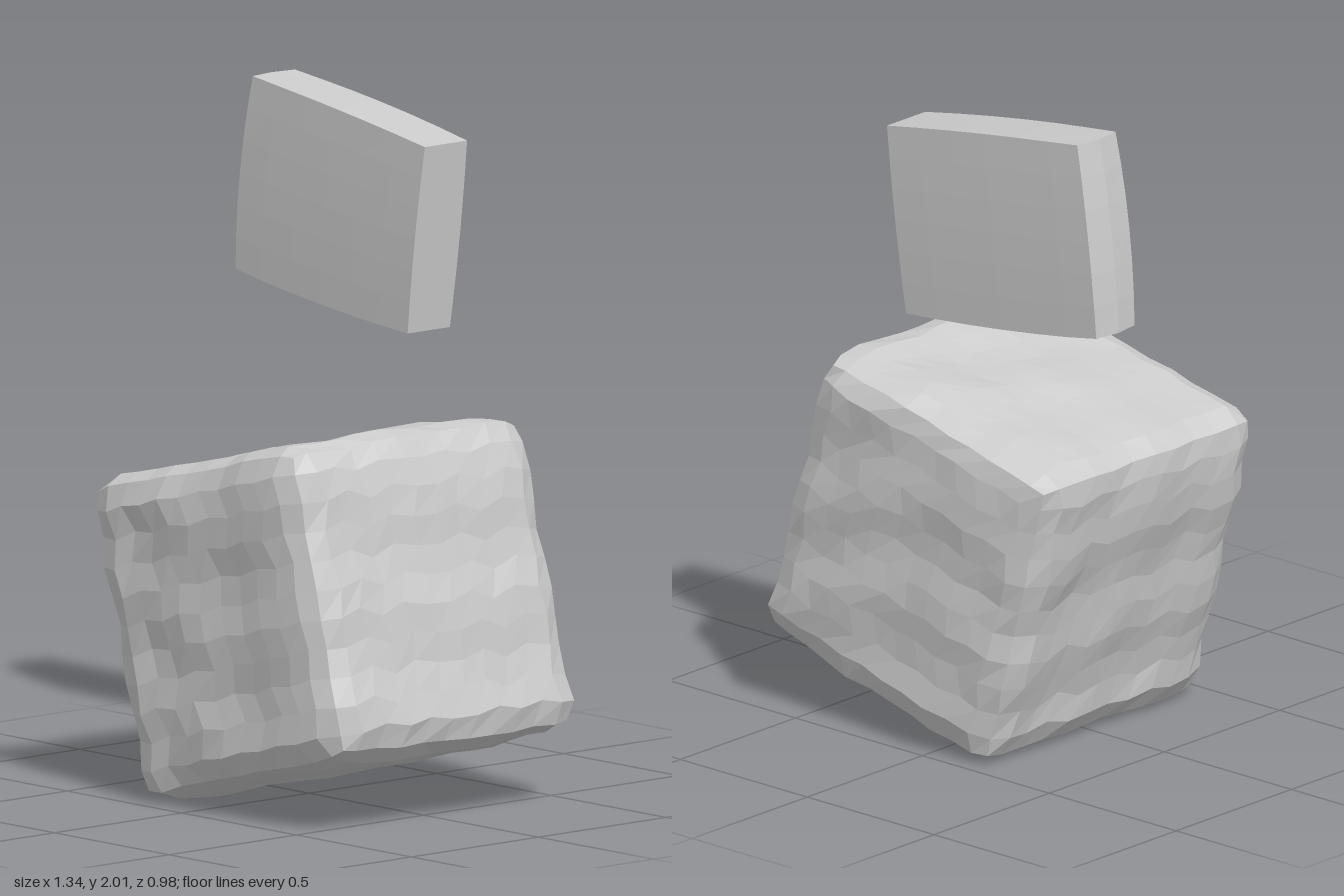
import * as THREE from 'three';

const material = new THREE.MeshStandardMaterial({ color: 0xcccccc, flatShading: true });

// Rough stone cube: rounded box whose surface is pushed in and out by soft waves
function makeStone() {
  const size = new THREE.Vector3(0.94, 0.95, 0.95), radius = 0.085;
  const geo = new THREE.BoxGeometry(size.x, size.y, size.z, 11, 11, 11);
  const inner = size.clone().multiplyScalar(0.5).subScalar(radius);
  const pos = geo.attributes.position;
  const p = new THREE.Vector3(), core = new THREE.Vector3(), n = new THREE.Vector3();
  for (let i = 0; i < pos.count; i++) {
    p.fromBufferAttribute(pos, i);
    core.copy(p).clamp(inner.clone().negate(), inner);
    n.copy(p).sub(core).normalize();
    const { x, y, z } = p;
    const wave = 0.007 * Math.sin(19 * y + 3 * Math.sin(4 * x + 2 * z))
      + 0.005 * Math.sin(17 * x + 5 * z + 1) + 0.005 * Math.sin(18 * z - 4 * y + 2);
    // Uneven spacing of the facets along the faces
    core.x += 0.018 * Math.sin(31 * y + 23 * z) * (1 - Math.abs(n.x));
    core.y += 0.018 * Math.sin(29 * z + 37 * x) * (1 - Math.abs(n.y));
    core.z += 0.018 * Math.sin(33 * x + 27 * y) * (1 - Math.abs(n.z));
    core.clamp(inner.clone().negate(), inner);
    p.copy(core).addScaledVector(n, radius + wave);
    pos.setXYZ(i, p.x, p.y, p.z);
  }
  geo.computeVertexNormals();
  const mesh = new THREE.Mesh(geo, material);
  mesh.name = 'stoneCube';
  mesh.position.set(0.108, 0.557, 0);
  mesh.rotation.z = 0.253;
  return mesh;
}

// Tilted slab: a box mapped onto four corners, with slightly bulging faces
function makeSlab() {
  const geo = new THREE.BoxGeometry(1, 1, 1, 6, 6, 2);
  const corners = [[-0.672, 1.42], [0.09, 1.325], [0.165, 1.887], [-0.597, 2.0]];
  const pos = geo.attributes.position;
  for (let i = 0; i < pos.count; i++) {
    const s = pos.getX(i) + 0.5, t = pos.getY(i) + 0.5, d = pos.getZ(i) * 2;
    const weights = [(1 - s) * (1 - t), s * (1 - t), s * t, (1 - s) * t];
    let x = 0, y = 0;
    corners.forEach((c, k) => { x += c[0] * weights[k]; y += c[1] * weights[k]; });
    const bulge = 4 * s * (1 - s) + 4 * t * (1 - t);
    x -= 0.012 * (1 - s) * 4 * t * (1 - t);
    y += 0.008 * (2 * t - 1) * 4 * s * (1 - s);
    // The left end is softened at its long edges
    if (s < 0.01) x += 0.012 * d * d;
    pos.setXYZ(i, x, y, -0.389 + d * (0.083 + 0.006 * bulge));
  }
  geo.computeVertexNormals();
  const mesh = new THREE.Mesh(geo, material);
  mesh.name = 'tiltedSlab';
  return mesh;
}

export function createModel() {
  const group = new THREE.Group();
  group.name = 'stoneAndSlab';
  group.add(makeStone(), makeSlab());
  return group;
}
